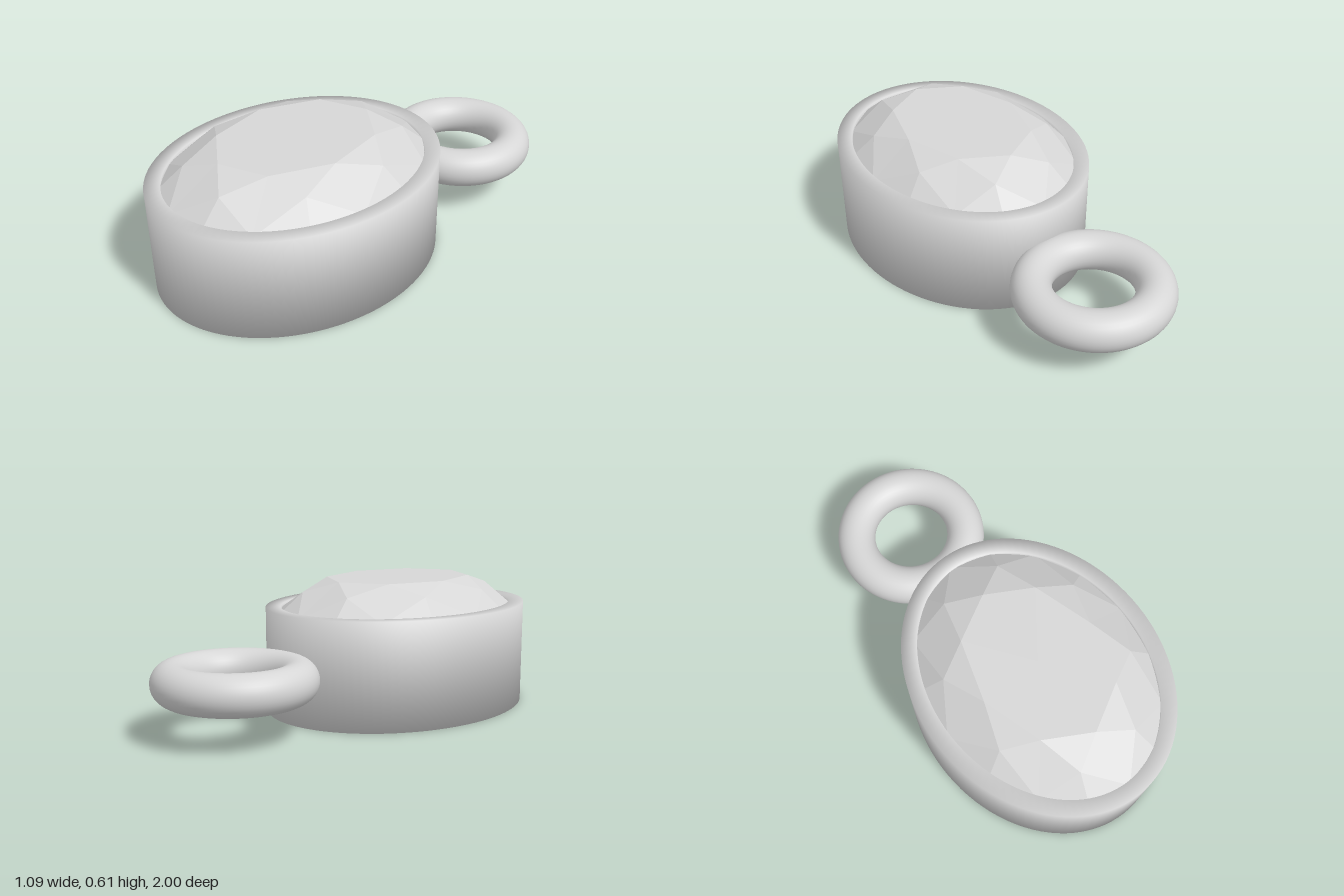
import * as THREE from 'three';

const CENTRE_Z = 0.32;

// Oval setting: a revolved wall profile, lengthened along z at constant thickness.
// Each profile point is radius, height, outward tilt and upward tilt of its normal.
function ovalBezel() {
  const profile = [
    [0.39, 0.235, -1, 0.3], [0.388, 0.12, -1, 0], [0.39, 0.008, -1, -0.6],
    [0.4, 0, -0.5, -1], [0.466, 0, 0, -1], [0.472, 0.01, 0, -1], [0.48, 0, 0, -1],
    [0.543, 0, 1, -1], [0.543, 0.484, 1, 0.6], [0.473, 0.484, -0.6, 1], [0.47, 0.44, -1, 0],
  ];
  const geo = new THREE.LatheGeometry(profile.map(([r, y]) => new THREE.Vector2(r, y)), 96);
  const { position, normal } = geo.attributes;
  const n = new THREE.Vector3();
  for (let i = 0; i < position.count; i++) {
    const [r, , out, up] = profile[i % profile.length];
    const rz = r + 0.137;
    const x = position.getX(i), z = position.getZ(i);
    position.setZ(i, z * rz / r);
    n.set(x / r, 0, z / rz).normalize().multiplyScalar(out).setY(up).normalize();
    normal.setXYZ(i, n.x, n.y, n.z);
  }
  return geo;
}

// Brilliant-cut oval stone: eight-sided table, star, kite and girdle facets, pointed pavilion
function ovalGem() {
  const at = (rx, rz, y) => (k) => {
    const a = k * Math.PI / 4;
    return [rx * Math.sin(a), y, rz * Math.cos(a)];
  };
  const table = at(0.287, 0.384, 0.608);
  const mid = at(0.386, 0.509, 0.558);
  const girdle = at(0.485, 0.628, 0.462);
  const top = [0, 0.608, 0];
  const culet = [0, 0.03, 0];
  const verts = [];
  const tri = (...corners) => corners.forEach((c) => verts.push(...c));
  for (let k = 0; k < 8; k++) {
    const h = k + 0.5;
    tri(top, table(k), table(k + 1));
    tri(table(k), mid(h), table(k + 1));
    tri(table(k), mid(k - 0.5), girdle(k));
    tri(table(k), girdle(k), mid(h));
    tri(mid(h), girdle(k), girdle(h));
    tri(mid(h), girdle(h), girdle(k + 1));
    tri(culet, girdle(k + 1), girdle(k));
    tri(girdle(k), girdle(k + 1), girdle(h));
  }
  const geo = new THREE.BufferGeometry();
  geo.setAttribute('position', new THREE.Float32BufferAttribute(verts, 3));
  geo.computeVertexNormals();
  return geo;
}

export function createModel() {
  const group = new THREE.Group();
  group.name = 'pendant';
  const silver = new THREE.MeshStandardMaterial({ color: 0xd6d6d6 });
  silver.name = 'silver grey';

  const add = (name, geo, x, y, z) => {
    const mesh = new THREE.Mesh(geo, silver);
    mesh.name = name;
    mesh.position.set(x, y, z);
    group.add(mesh);
  };
  add('bezel', ovalBezel(), 0, 0, CENTRE_Z);
  add('gemstone', ovalGem(), -0.003, 0, CENTRE_Z - 0.002);

  // Flat-lying hanging loop at the back
  const loop = new THREE.TorusGeometry(0.264, 0.089, 32, 80);
  loop.rotateX(-Math.PI / 2);
  add('hangingLoop', loop, 0, 0.244, -0.647);
  return group;
}
